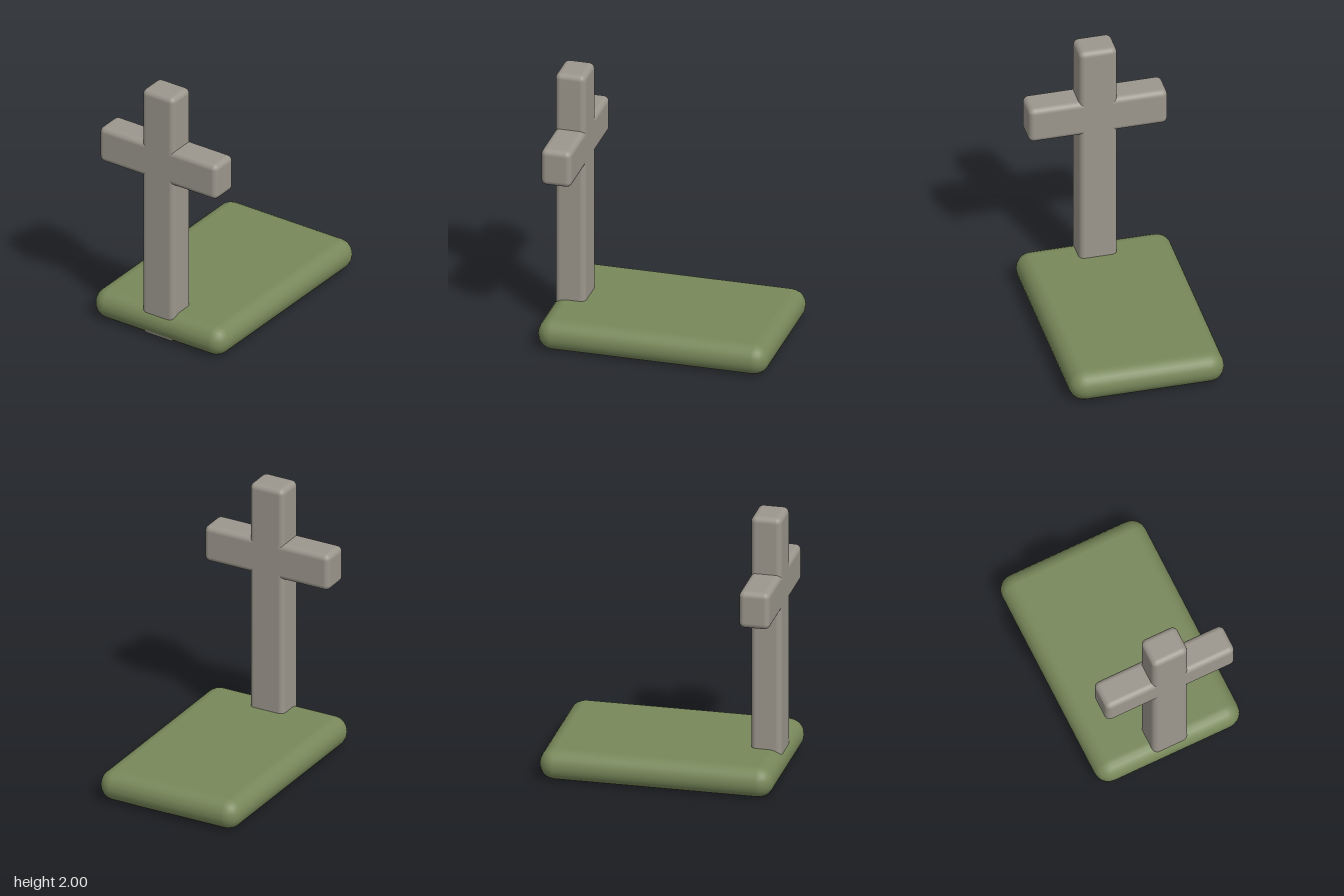
import * as THREE from 'three';
import { RoundedBoxGeometry } from 'three/addons/geometries/RoundedBoxGeometry.js';

export function createModel() {
  const group = new THREE.Group();
  group.name = 'graveWithCross';
  const stone = new THREE.MeshStandardMaterial({ color: 0x9c978d });
  const grass = new THREE.MeshStandardMaterial({ color: 0x78885a });

  // Rounded block given by its size and centre
  function block(name, size, centre, radius, segments, material) {
    const mesh = new THREE.Mesh(new RoundedBoxGeometry(...size, segments, radius), material);
    mesh.name = name;
    mesh.position.set(...centre);
    group.add(mesh);
  }

  // Pillowy grass mound
  block('graveMound', [1.14, 0.23, 1.71], [0, 0.115, 0], 0.113, 3, grass);

  // Stone cross sunk through the front end of the mound
  const crossZ = 0.717, depth = 0.225, bevel = 0.042;
  block('crossPost', [0.28, 1.995, depth], [0, 1.0025, crossZ], bevel, 3, stone);
  block('crossArms', [1.02, 0.28, depth], [0, 1.43, crossZ], bevel, 3, stone);

  return group;
}
